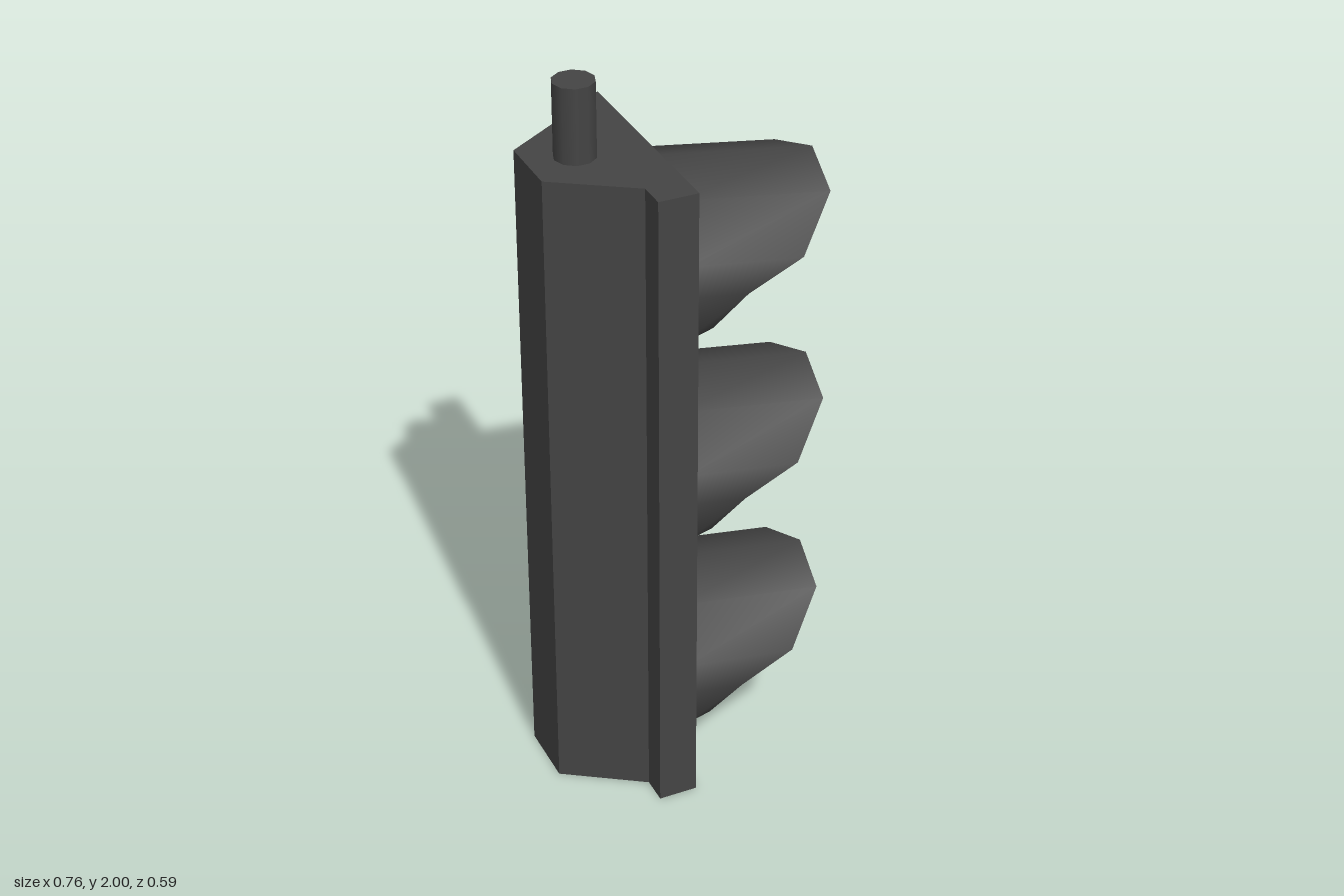
import * as THREE from 'three';

const material = new THREE.MeshStandardMaterial({ color: 0x444444, side: THREE.DoubleSide });
const FACE_X = -0.07;

// Half of the visor, top to bottom: [wall y, wall z, rim x, rim y, rim z]
const VISOR_HALF = [
  [0.26, 0, 0.38, 0.19, 0],
  [0.21, 0.153, 0.353, 0.143, 0.153],
  [0.08, 0.247, 0.235, 0.034, 0.247],
  [0, 0.26, 0.08, -0.025, 0.26],
  [-0.15, 0.21, 0.015, -0.137, 0.2],
  [-0.24, 0.08, -0.015, -0.243, 0.08],
];

// Sloping hood, open underneath, cut away towards the bottom
function visorGeometry() {
  const mirrored = VISOR_HALF.slice(1).reverse().map(([wy, wz, x, y, z]) => [wy, -wz, x, y, -z]);
  const stations = [...mirrored, ...VISOR_HALF];
  const positions = [];
  const index = [];
  stations.forEach(([wy, wz, x, y, z], i) => {
    positions.push(FACE_X, wy, wz, x, y, z);
    if (i === stations.length - 1) return;
    const a = 2 * i;
    index.push(a, a + 2, a + 1, a + 2, a + 3, a + 1);
  });
  const geometry = new THREE.BufferGeometry();
  geometry.setAttribute('position', new THREE.Float32BufferAttribute(positions, 3));
  geometry.setIndex(index);
  geometry.computeVertexNormals();
  return geometry;
}

// Shallow domed lens facing +x
function lensGeometry() {
  const profile = [[0.245, 0], [0.18, 0.009], [0.1, 0.016], [0, 0.02]];
  return new THREE.LatheGeometry(profile.map(([r, h]) => new THREE.Vector2(r, h)), 10)
    .rotateZ(-Math.PI / 2);
}

export function createModel() {
  const model = new THREE.Group();
  const add = (name, geometry, x = 0, y = 0, z = 0, parent = model) => {
    const mesh = new THREE.Mesh(geometry, material);
    mesh.name = name;
    mesh.position.set(x, y, z);
    parent.add(mesh);
    return mesh;
  };

  // Housing: front plate with a tapered back, one extruded plan
  const half = [[-0.38, 0.088], [-0.175, 0.222], [-0.175, 0.295], [FACE_X, 0.295]];
  const plan = [...half, ...half.slice().reverse().map(([x, z]) => [x, -z])];
  const shape = new THREE.Shape(plan.map(([x, z]) => new THREE.Vector2(x, z)));
  const housing = new THREE.ExtrudeGeometry(shape, { depth: 1.8, bevelEnabled: false });
  add('housing', housing.rotateX(-Math.PI / 2));

  // Mounting stub on top
  const stub = new THREE.CylinderGeometry(0.054, 0.054, 0.2, 10).rotateY(Math.PI / 2);
  add('mountingStub', stub, -0.258, 1.9, 0);

  // Three stacked signals
  const visor = visorGeometry();
  const lens = lensGeometry();
  ['lower', 'middle', 'upper'].forEach((level, i) => {
    const signal = new THREE.Group();
    signal.name = level + 'Signal';
    signal.position.y = 0.3 + 0.6 * i;
    model.add(signal);
    add('visor', visor, 0, 0, 0, signal);
    add('lens', lens, FACE_X, 0, 0, signal);
  });

  return model;
}
